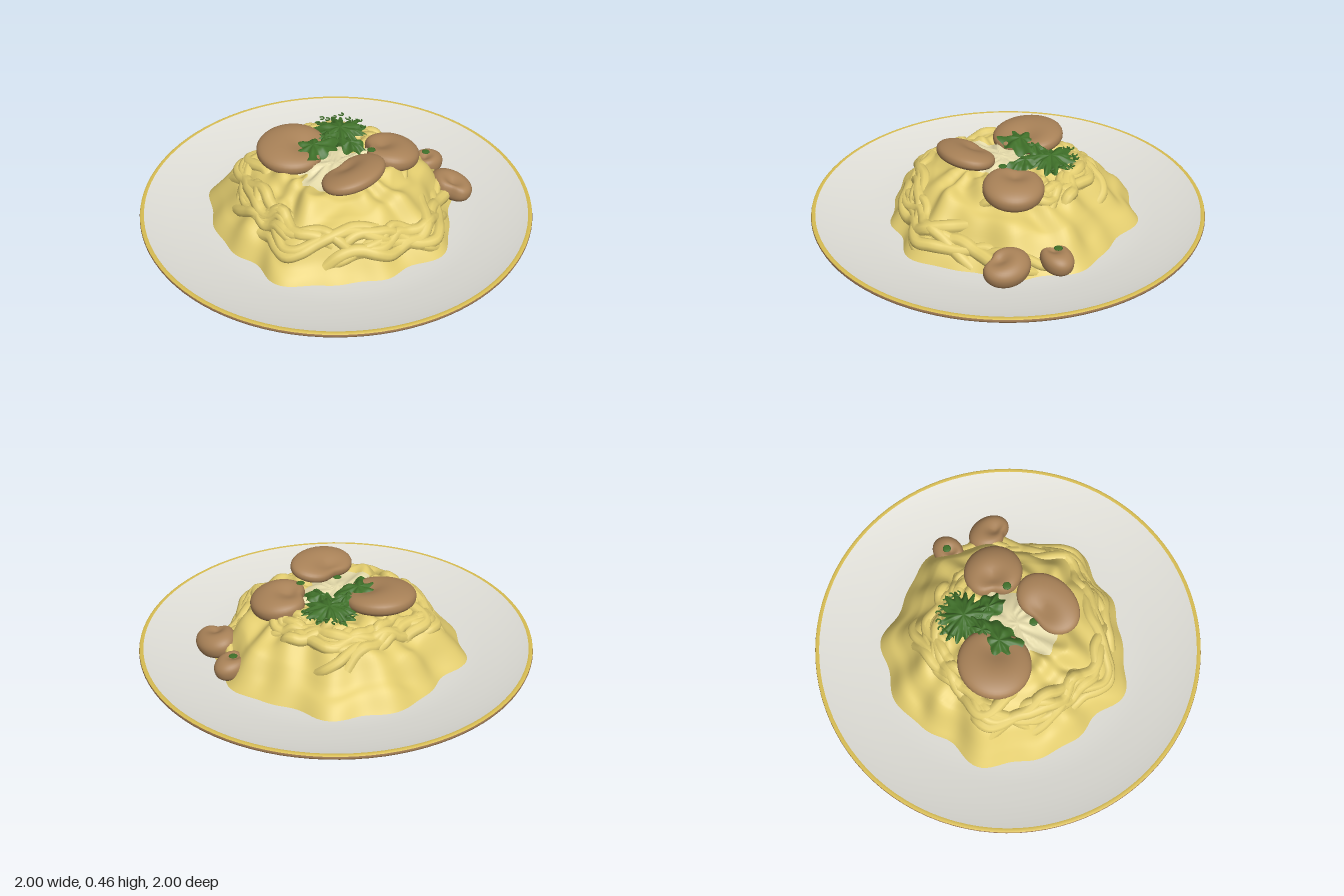
import * as THREE from 'three';
import { mergeVertices } from 'three/addons/utils/BufferGeometryUtils.js';

const mat = (name, color, side = THREE.FrontSide) =>
  Object.assign(new THREE.MeshStandardMaterial({ color, side }), { name });

// small seeded random
let seed = 7;
const rnd = (a = 0, b = 1) => {
  seed = (seed * 16807) % 2147483647;
  return a + (b - a) * (seed / 2147483647);
};

// mound outline radius and height
const PROFILE = [[0, 0.34], [0.3, 0.345], [0.48, 0.34], [0.62, 0.29], [0.78, 0.21], [0.9, 0.125], [1, 0.045]];
const outline = (a) => 0.635 + 0.022 * Math.sin(5 * a + 0.6) + 0.018 * Math.sin(9 * a + 2) + 0.012 * Math.sin(14 * a)
  - 0.02 * Math.sin(a);
function profile(t) {
  for (let i = 1; i < PROFILE.length; i++) {
    const [t0, y0] = PROFILE[i - 1], [t1, y1] = PROFILE[i];
    if (t <= t1) return y0 + ((y1 - y0) * (t - t0)) / (t1 - t0);
  }
  return 0.045;
}
function height(x, z) {
  const a = Math.atan2(z, x), t = Math.hypot(x, z) / outline(a);
  const warp = 1.6 * Math.sin(3 * a + 5 * t) + 0.8 * Math.sin(7 * a - 3 * t);
  const fold = Math.sin(20 * t + warp) * 0.014 + Math.sin(11 * a + 9 * t + Math.sin(4 * a) * 2) * 0.012;
  return profile(t) + fold * Math.min(1, t * 2.5) * Math.min(1, (1 - t) * 6 + 0.1);
}

// disc-like surface from a rule point(t, angle) -> [x, y, z]
function polarSurface(rings, steps, point) {
  const pos = [], idx = [];
  for (let i = 0; i <= rings; i++)
    for (let j = 0; j < steps; j++) pos.push(...point(i / rings, (j / steps) * Math.PI * 2));
  for (let i = 0; i < rings; i++)
    for (let j = 0; j < steps; j++) {
      const a = i * steps + j, d = i * steps + ((j + 1) % steps), b = a + steps, c = d + steps;
      idx.push(a, c, b);
      if (i > 0) idx.push(a, d, c);
    }
  let g = new THREE.BufferGeometry();
  g.setAttribute('position', new THREE.Float32BufferAttribute(pos, 3));
  g.setIndex(idx);
  g = mergeVertices(g, 1e-5);
  g.computeVertexNormals();
  return g;
}

// mushroom slice: flattened ball with a side notch and a shallow dish on top
function mushroomGeometry(rx, ry, rz, notch) {
  let g = new THREE.SphereGeometry(1, 40, 24);
  g.deleteAttribute('uv');
  g.deleteAttribute('normal');
  g = mergeVertices(g, 1e-4);
  const p = g.attributes.position;
  for (let i = 0; i < p.count; i++) {
    const x = p.getX(i), y = p.getY(i), z = p.getZ(i);
    const d = Math.atan2(Math.sin(Math.atan2(z, x) - notch), Math.cos(Math.atan2(z, x) - notch));
    const r = Math.hypot(x, z), k = 1 - 0.22 * Math.exp(-((d / 0.4) ** 2)) * r;
    const dx = x - 0.35 * Math.cos(notch), dz = z - 0.35 * Math.sin(notch);
    const dish = y > 0 ? 0.55 * Math.exp(-(dx * dx + dz * dz) * 5) : 0;
    const puff = Math.sign(y) * Math.abs(y) ** 0.8;
    p.setXYZ(i, x * k * rx, (puff - dish) * ry, z * k * rz);
  }
  g.computeVertexNormals();
  return g;
}

export function createModel() {
  const model = new THREE.Group();
  const plateWhite = mat('plateWhite', 0xe0dfd8);
  const gold = mat('goldRim', 0xd8bd52);
  const brown = mat('mushroomBrown', 0xa88157);
  const pastaYellow = mat('pastaYellow', 0xe2cc6e);
  const creamPale = mat('creamPale', 0xe6dcab);
  const green = mat('herbGreen', 0x3f7029, THREE.DoubleSide);

  const add = (name, geometry, material, parent = model) => {
    const m = new THREE.Mesh(geometry, material);
    m.name = name;
    parent.add(m);
    return m;
  };
  const lathe = (pts) => new THREE.LatheGeometry(pts.map(([x, y]) => new THREE.Vector2(x, y)), 96);

  // plate
  add('plateUnderside', lathe([[0, 0.005], [0.5, 0.005], [0.66, 0.012], [0.72, 0.022], [0.85, 0.056], [0.95, 0.084], [0.985, 0.1]]), plateWhite);
  add('plateRimSide', lathe([[0.985, 0.1], [0.997, 0.108], [1, 0.116], [0.998, 0.124]]), brown);
  add('plateRimTop', lathe([[0.998, 0.124], [0.99, 0.129], [0.978, 0.126]]), gold);
  add('plateInside', lathe([[0.978, 0.126], [0.93, 0.112], [0.85, 0.094], [0.75, 0.075], [0.65, 0.06], [0.5, 0.052], [0, 0.05]]), plateWhite);

  // pasta mound
  const pasta = new THREE.Group();
  pasta.name = 'pasta';
  model.add(pasta);
  add('pastaMound', polarSurface(64, 200, (t, a) => {
    const r = t * outline(a), x = r * Math.cos(a), z = r * Math.sin(a);
    return [x, height(x, z), z];
  }), pastaYellow, pasta);

  // broad noodles draped round the mound
  for (let n = 0; n < 34; n++) {
    const a0 = n * 2.4, span = rnd(0.7, 1.5), t0 = 0.45 + 0.45 * ((n * 0.618) % 1);
    const drift = rnd(-0.2, 0.2), phase = rnd(0, 6), pts = [];
    for (let i = 0; i <= 12; i++) {
      const s = i / 12, a = a0 + span * s;
      const t = Math.min(0.93, Math.max(0.4, t0 + drift * (s - 0.5) + 0.05 * Math.sin(s * 6 + phase)));
      const r = t * outline(a), x = r * Math.cos(a), z = r * Math.sin(a);
      pts.push(new THREE.Vector3(x, height(x, z) - 0.004 - 0.045 * (2 * s - 1) ** 6, z));
    }
    add('noodle', new THREE.TubeGeometry(new THREE.CatmullRomCurve3(pts), 44, rnd(0.024, 0.036), 10), pastaYellow, pasta);
  }

  // cream in the hollow on top
  add('cream', polarSurface(12, 60, (t, a) => {
    const r = t * (0.16 + 0.025 * Math.sin(5 * a) + 0.02 * Math.sin(8 * a + 1));
    const x = -0.04 + r * 1.25 * Math.cos(a), z = 0.03 + r * Math.sin(a);
    return [x, height(x, z) + 0.025 * (1 - t * t) + 0.006, z];
  }), creamPale);

  // mushrooms: position, radii, notch angle, tilt about x and z
  [
    [[-0.11, 0.385, -0.2], [0.185, 0.062, 0.18], 0.9, 0.08, 0.05],
    [[-0.08, 0.412, 0.2], [0.18, 0.05, 0.13], -1.6, -0.18, 0.06],
    [[0.25, 0.355, 0.14], [0.148, 0.068, 0.15], -2.4, 0.05, -0.16],
    [[0.5, 0.125, 0.35], [0.098, 0.068, 0.12], 2.6, 0.1, -0.3],
    [[0.58, 0.125, 0.12], [0.092, 0.06, 0.075], 3.1, 0, -0.2],
  ].forEach(([pos, radii, notch, tx, tz]) => {
    const m = add('mushroom', mushroomGeometry(...radii, notch), brown);
    m.position.set(...pos);
    m.rotation.set(tx, 0, tz);
  });

  // frilly herb leaves: centre, radii, number of teeth, tooth depth, turn
  [
    [[-0.05, 0.425, -0.11], [0.13, 0.1], 9, 0.08, 0.3],
    [[0.17, 0.415, -0.14], [0.12, 0.13], 17, 0.17, 0.8],
    [[0.12, 0.405, -0.02], [0.06, 0.1], 7, 0.1, 0.2],
    [[0.05, 0.42, -0.13], [0.1, 0.06], 8, 0.08, 0],
  ].forEach(([[cx, cy, cz], [rx, rz], teeth, depth, turn]) =>
    add('herbLeaf', polarSurface(8, 120, (t, a) => {
      const k = t * (0.95 + t * (depth * Math.sin(teeth * a + turn) + 0.09 * Math.sin(3 * a + turn)));
      const ripple = 0.012 * t * Math.sin(6 * a + turn) + 0.006 * Math.sin(9 * t + 2 * a) * t;
      return [cx + k * rx * Math.cos(a), cy + ripple - 0.03 * t * t, cz + k * rz * Math.sin(a)];
    }), green));

  // curled sprig tips along the leaf edge
  for (let i = 0; i < 9; i++) {
    const a = -1.9 + i * 0.3, curl = add('herbSprig', new THREE.TorusGeometry(0.012, 0.004, 5, 10, 4.5), green);
    curl.position.set(0.17 + 0.122 * Math.cos(a), 0.4 + 0.012 * Math.sin(i * 2), -0.14 + 0.13 * Math.sin(a));
    curl.rotation.set(Math.PI / 2, 0, a);
  }

  // green flecks
  [[0.575, 0.182, 0.11], [-0.09, 0.378, 0.09], [0.13, 0.415, 0.12]].forEach(([x, y, z]) => {
    const fleck = add('herbFleck', new THREE.SphereGeometry(0.022, 10, 6), green);
    fleck.position.set(x, y, z);
    fleck.scale.y = 0.2;
  });

  return model;
}
